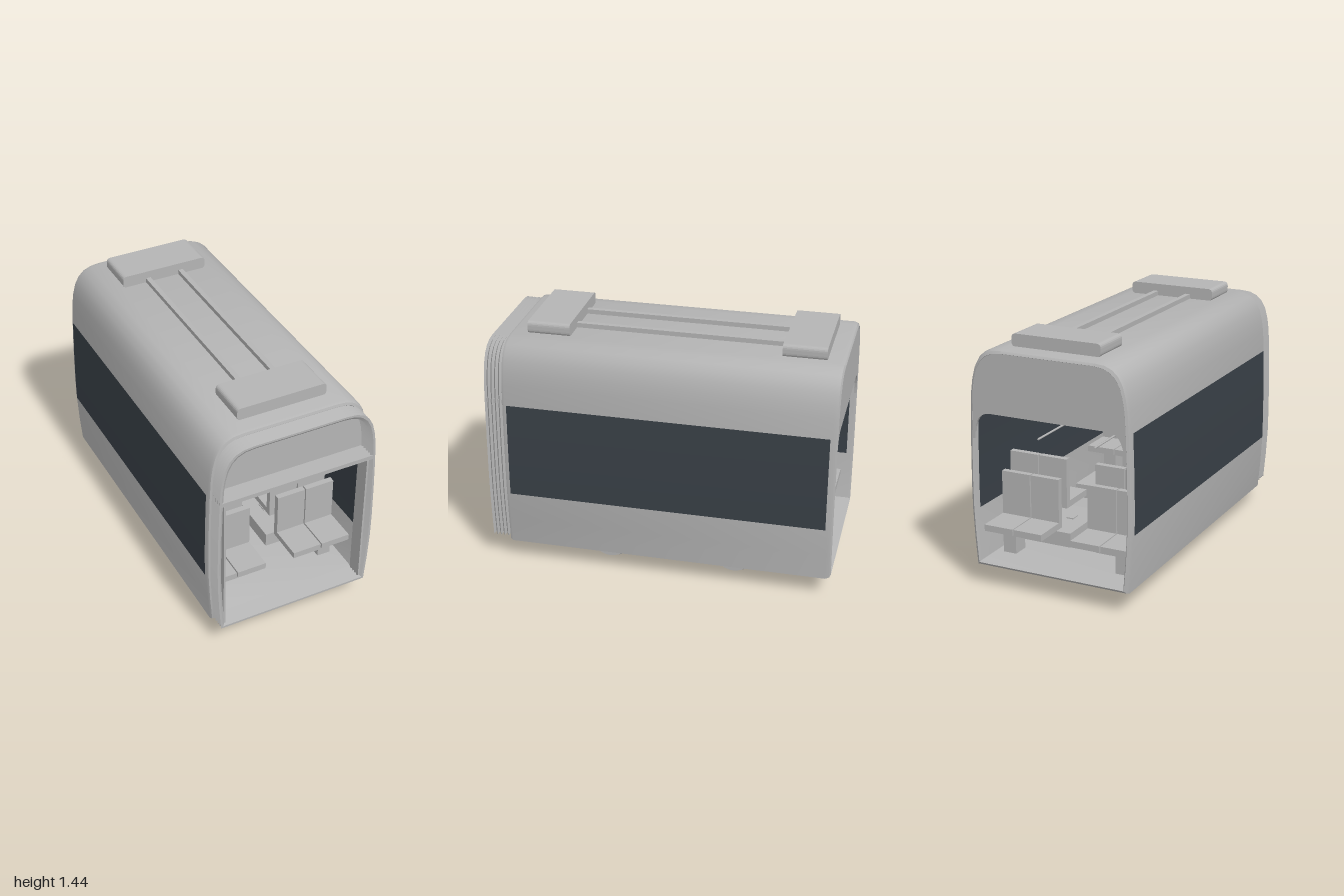
import * as THREE from 'three';
import { toCreasedNormals } from 'three/addons/utils/BufferGeometryUtils.js';

// Right half of the carriage cross-section, bottom to top
const HALF = [[0.465, 0.12], [0.478, 0.28], [0.487, 0.45], [0.488, 0.6], [0.485, 0.8], [0.479, 1.0],
  [0.472, 1.13], [0.462, 1.2], [0.445, 1.265], [0.42, 1.312], [0.385, 1.345], [0.34, 1.364], [0.28, 1.37]];
const MID = -0.05; // middle of the rigid body along z

// Cross-section pulled inwards by ix, iy
const inset = (p, ix, iy) => [p[0] * (1 - ix / 0.488), 0.745 + (p[1] - 0.745) * (1 - iy / 0.625)];

function halfWidth(y) {
  for (let i = 1; i < HALF.length; i++) {
    const [a, b] = [HALF[i - 1], HALF[i]];
    if (y <= b[1]) return a[0] + (b[0] - a[0]) * (y - a[1]) / (b[1] - a[1]);
  }
  return 0;
}

// Tube with a wall: rings of [z, ix, iy] joined in a closed loop
function ringLoft(rings, crease) {
  const loop = [...HALF, ...HALF.map(([x, y]) => [-x, y]).reverse()];
  const n = loop.length, pos = [], idx = [];
  for (const [z, ix, iy] of rings) for (const p of loop) pos.push(...inset(p, ix, iy), z);
  for (let r = 0; r < rings.length; r++) {
    const q = (r + 1) % rings.length;
    for (let i = 0; i < n; i++) {
      const j = (i + 1) % n;
      const a = r * n + i, b = r * n + j, c = q * n + j, d = q * n + i;
      idx.push(a, b, c, a, c, d);
    }
  }
  const g = new THREE.BufferGeometry();
  g.setAttribute('position', new THREE.Float32BufferAttribute(pos, 3));
  g.setIndex(idx);
  return toCreasedNormals(g, crease);
}

export function createModel() {
  const group = new THREE.Group();
  const grey = new THREE.MeshStandardMaterial({ color: 0xb4b4b4, side: THREE.DoubleSide });
  grey.name = 'grey';
  const glass = new THREE.MeshStandardMaterial({ color: 0x394047, side: THREE.DoubleSide });
  glass.name = 'darkGlass';

  const add = (name, geo, x = 0, y = 0, z = 0, mat = grey, parent = group) => {
    const m = new THREE.Mesh(geo, mat);
    m.name = name;
    m.position.set(x, y, z);
    parent.add(m);
    return m;
  };
  // Box given by its limits
  const box = (name, x0, x1, y0, y1, z0, z1, mat = grey, parent = group) =>
    add(name, new THREE.BoxGeometry(Math.abs(x1 - x0), y1 - y0, Math.abs(z1 - z0)),
      (x0 + x1) / 2, (y0 + y1) / 2, (z0 + z1) / 2, mat, parent);
  // Cylinder lying along x
  const rod = (name, r, len, x, y, z, sides, parent = group) =>
    add(name, new THREE.CylinderGeometry(r, r, len, sides).rotateZ(Math.PI / 2), x, y, z, grey, parent);

  // Body shell with floor, walls and roof
  add('bodyShell', ringLoft([[0.885, 0.03, 0.03], [0.9, 0.02, 0.02], [0.895, 0.007, 0.007], [0.88, 0, 0],
    [-0.97, 0, 0], [-0.992, 0.007, 0.007], [-1, 0.02, 0.02], [-0.985, 0.03, 0.03]], 0.7));

  // Folded bellows at the front end
  const folds = [];
  for (let i = 0; i <= 10; i++) {
    const d = i % 2 ? 0.014 : 0;
    folds.push([0.89 + i * 0.011, 0.01 + d, 0.02 + d]);
  }
  const inner = folds.map(([z, ix, iy]) => [z, ix + 0.012, iy + 0.012]).reverse();
  add('bellows', ringLoft([...folds, ...inner], 0.5));

  // Header panels above the end openings
  const header = new THREE.Shape();
  const arch = HALF.filter((p) => p[1] > 0.95).map((p) => inset(p, 0.02, 0.02));
  header.moveTo(0.462, 0.86);
  arch.forEach(([x, y]) => header.lineTo(x, y));
  arch.slice().reverse().forEach(([x, y]) => header.lineTo(-x, y));
  header.lineTo(-0.462, 0.86);
  header.lineTo(-0.448, 0.86);
  header.bezierCurveTo(-0.445, 0.97, -0.41, 1.01, -0.35, 1.01);
  header.lineTo(0.35, 1.01);
  header.bezierCurveTo(0.41, 1.01, 0.445, 0.97, 0.448, 0.86);
  const headerGeo = new THREE.ExtrudeGeometry(header, { depth: 0.015, bevelEnabled: false, curveSegments: 8 });
  add('frontHeader', headerGeo, 0, 0, 0.88);
  add('backHeader', headerGeo, 0, 0, -0.998);
  box('frontLedge', -0.46, 0.46, 1.01, 1.035, 0.89, 1.0);

  for (const s of [-1, 1]) {
    // Side windows, seen from outside and inside
    for (const [name, off] of [['windowOutside', 0.003], ['windowInside', -0.034]]) {
      const g = new THREE.PlaneGeometry(1.83, 0.56, 1, 8).rotateY(s * Math.PI / 2).translate(0, 0.73, MID + 0.005);
      const p = g.attributes.position;
      for (let i = 0; i < p.count; i++) p.setX(i, s * (halfWidth(p.getY(i)) + off));
      g.computeVertexNormals();
      add(name, g, 0, 0, 0, glass);
    }
    box('gangwayPost', s * 0.425, s * 0.436, 0.15, 1.0, 0.9, 0.99);
    box('roofRail', s * 0.09, s * 0.12, 1.365, 1.397, -0.66, 0.56);
    const rail = add('handrail', new THREE.CylinderGeometry(0.006, 0.006, 1.5, 8).rotateX(Math.PI / 2), s * 0.172, 0.835, MID);
    rail.castShadow = false;
  }

  // Roof units with rounded long edges
  const pod = new THREE.Shape();
  const [w, h, r] = [0.265, 0.072, 0.026];
  pod.moveTo(-w + r, 0);
  pod.lineTo(w - r, 0);
  pod.quadraticCurveTo(w, 0, w, r);
  pod.lineTo(w, h - r);
  pod.quadraticCurveTo(w, h, w - r, h);
  pod.lineTo(-w + r, h);
  pod.quadraticCurveTo(-w, h, -w, h - r);
  pod.lineTo(-w, r);
  pod.quadraticCurveTo(-w, 0, -w + r, 0);
  const podGeo = new THREE.ExtrudeGeometry(pod, { depth: 0.245, bevelEnabled: false, curveSegments: 5 });

  // Wheel: tread with a flange towards the inside, turned to lie along x
  const wheelGeo = toCreasedNormals(new THREE.LatheGeometry([[0, -0.03], [0.05, -0.03], [0.07, -0.015], [0.1, -0.015],
    [0.105, -0.025], [0.128, -0.02], [0.13, -0.008], [0.116, 0.0], [0.11, 0.03], [0.09, 0.03], [0.07, 0.012],
    [0.05, 0.03], [0, 0.03]].map(([a, b]) => new THREE.Vector2(a, b)), 28).rotateZ(-Math.PI / 2), 0.6);

  // Everything that repeats at both ends, e = direction towards that end
  for (const e of [1, -1]) {
    const Z = (d) => MID + e * d;
    add('roofUnit', podGeo, 0, 1.368, e > 0 ? 0.55 : -0.897);

    const bogie = new THREE.Group();
    bogie.name = 'bogie';
    group.add(bogie);
    rod('axle', 0.012, 0.6, 0, 0.13, Z(0.37), 10, bogie);
    rod('motor', 0.045, 0.295, -0.025, 0.112, Z(0.185), 10, bogie);
    for (const s of [-1, 1]) {
      const wheel = add('wheel', wheelGeo, s * 0.315, 0.132, Z(0.37), grey, bogie);
      if (s < 0) wheel.rotation.y = Math.PI;
      rod('brakeDisc', 0.08, 0.018, s * 0.198, 0.13, Z(0.37), 20, bogie);
      box('axleBox', s * 0.335, s * 0.38, 0.098, 0.13, Z(0.32), Z(0.42), grey, bogie);

      // Raised floor over the wheels, with a small hatch
      box('wheelPlatform', s * 0.08, s * 0.452, 0.145, 0.235, Z(0.17), Z(0.57));
      box('hatch', s * 0.17, s * 0.215, 0.235, 0.242, Z(0.31), Z(0.37));

      // Outward seats on the floor and inward seats on the platform
      for (const [name, lift, back, dir] of [['outerSeat', 0, 0.68, 1], ['innerSeat', 0.09, 0.55, -1]]) {
        const seat = new THREE.Group();
        seat.name = name;
        group.add(seat);
        for (const [x0, x1] of [[0.09, 0.265], [0.272, 0.45]]) {
          box('seatCushion', s * x0, s * x1, 0.3 + lift, 0.337 + lift, Z(back), Z(back + dir * 0.2), grey, seat);
          box('seatBack', s * x0, s * x1, 0.3 + lift, 0.59 + lift, Z(back), Z(back - dir * 0.035), grey, seat);
        }
        box('seatSupport', s * 0.31, s * 0.39, 0.145 + lift, 0.3 + lift, Z(back), Z(back + dir * 0.1), grey, seat);
      }
    }
  }

  // Hanging passenger display
  box('displayCase', -0.13, 0.125, 0.89, 0.98, MID - 0.02, MID + 0.02);
  for (const s of [-1, 1]) box('displayScreen', -0.117, 0.112, 0.897, 0.973, MID + s * 0.02, MID + s * 0.024, glass);
  box('displayHanger', -0.006, 0.006, 0.98, 1.345, MID - 0.006, MID + 0.006);

  return group;
}
